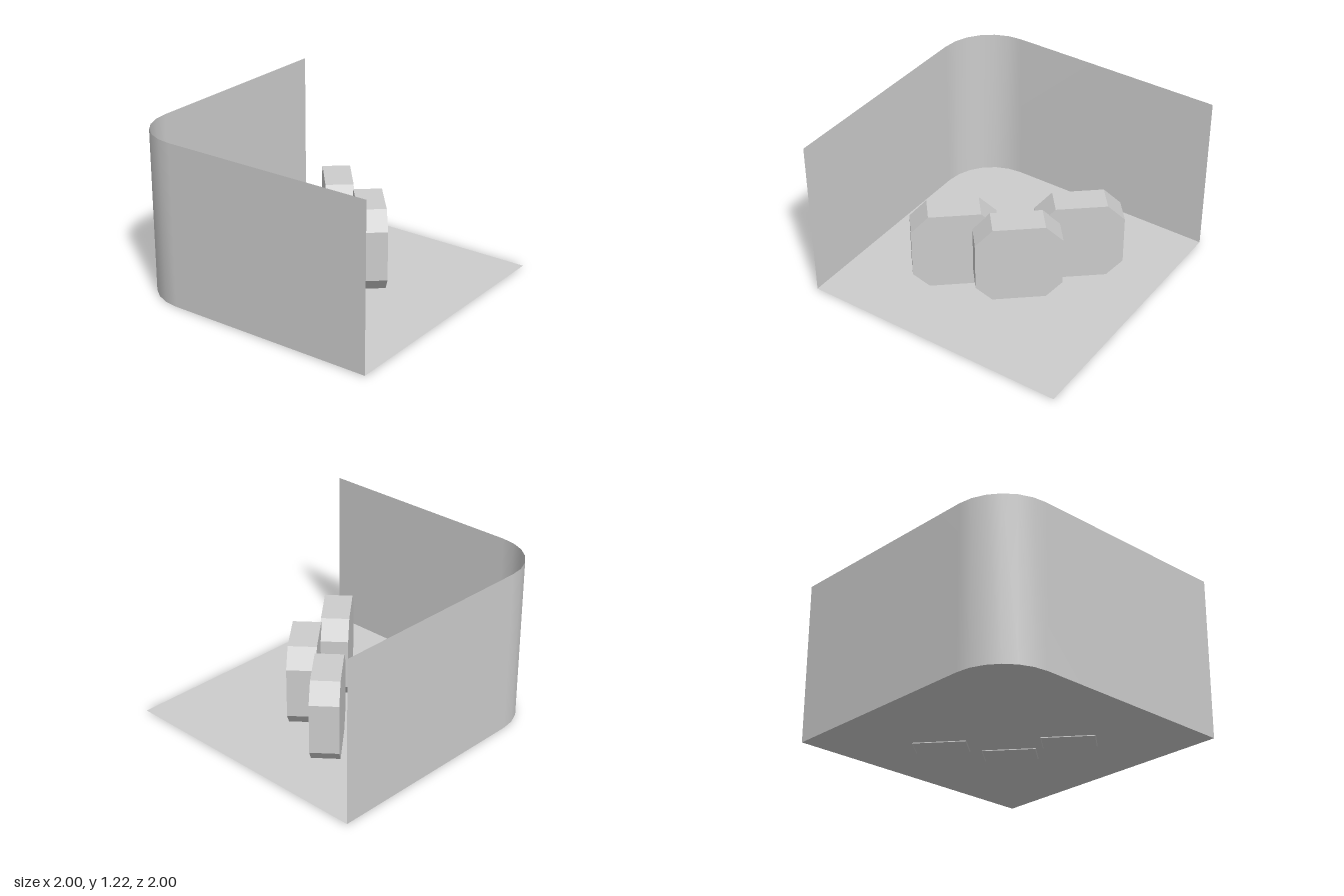
import * as THREE from 'three';

const FLOOR_Y = 0.006, WALL_TOP = 1.215, RADIUS = 0.4, ARC_STEPS = 6;

// Plan outline of the two walls: left edge, rounded back corner, back edge, as (x, z)
function wallPath() {
  const path = [[-1, 1]];
  for (let i = 0; i <= ARC_STEPS; i++) {
    const a = (i / ARC_STEPS) * Math.PI / 2;
    path.push([-1 + RADIUS * (1 - Math.cos(a)), -1 + RADIUS * (1 - Math.sin(a))]);
  }
  path.push([1, -1]);
  return path;
}

// Thin upright sheet following the plan outline, smooth round the corner
function wallGeometry(path) {
  const positions = [], index = [];
  path.forEach(([x, z], i) => {
    positions.push(x, FLOOR_Y, z, x, WALL_TOP, z);
    if (i < path.length - 1) {
      const a = i * 2;
      index.push(a, a + 2, a + 3, a, a + 3, a + 1);
    }
  });
  const geometry = new THREE.BufferGeometry();
  geometry.setAttribute('position', new THREE.Float32BufferAttribute(positions, 3));
  geometry.setIndex(index);
  geometry.computeVertexNormals();
  return geometry;
}

// Flat floor with the same rounded corner
function floorGeometry(path) {
  const outline = [...path, [1, 1]].map(([x, z]) => new THREE.Vector2(x, -z));
  const geometry = new THREE.ShapeGeometry(new THREE.Shape(outline));
  geometry.rotateX(-Math.PI / 2);
  geometry.translate(0, FLOOR_Y, 0);
  return geometry;
}

// Upright slab with four cut corners, standing on y = 0
function slabGeometry(size, cut, depth) {
  const h = size / 2, c = h - cut;
  const corners = [[-c, 0], [c, 0], [h, cut], [h, size - cut],
    [c, size], [-c, size], [-h, size - cut], [-h, cut]];
  const shape = new THREE.Shape(corners.map(([x, y]) => new THREE.Vector2(x, y)));
  const geometry = new THREE.ExtrudeGeometry(shape, { depth, bevelEnabled: false });
  geometry.translate(0, 0, -depth / 2);
  return geometry;
}

export function createModel() {
  const model = new THREE.Group();
  model.name = 'roomCornerWithSlabs';

  const grey = new THREE.MeshStandardMaterial({ color: 0xcccccc, side: THREE.DoubleSide });
  grey.name = 'lightGrey';

  const add = (name, geometry) => {
    const mesh = new THREE.Mesh(geometry, grey);
    mesh.name = name;
    model.add(mesh);
    return mesh;
  };

  const path = wallPath();
  add('walls', wallGeometry(path));
  add('floor', floorGeometry(path));

  // Three overlapping slabs, all turned the same way
  const slab = slabGeometry(0.615, 0.123, 0.204);
  const places = { leftBackSlab: [0.406, -0.246], middleSlab: [0.18, 0.2], rightFrontSlab: [-0.275, 0.325] };
  for (const [name, [x, z]] of Object.entries(places)) {
    const mesh = add(name, slab);
    mesh.position.set(x, 0, z);
    mesh.rotation.y = 0.698;
  }

  return model;
}
